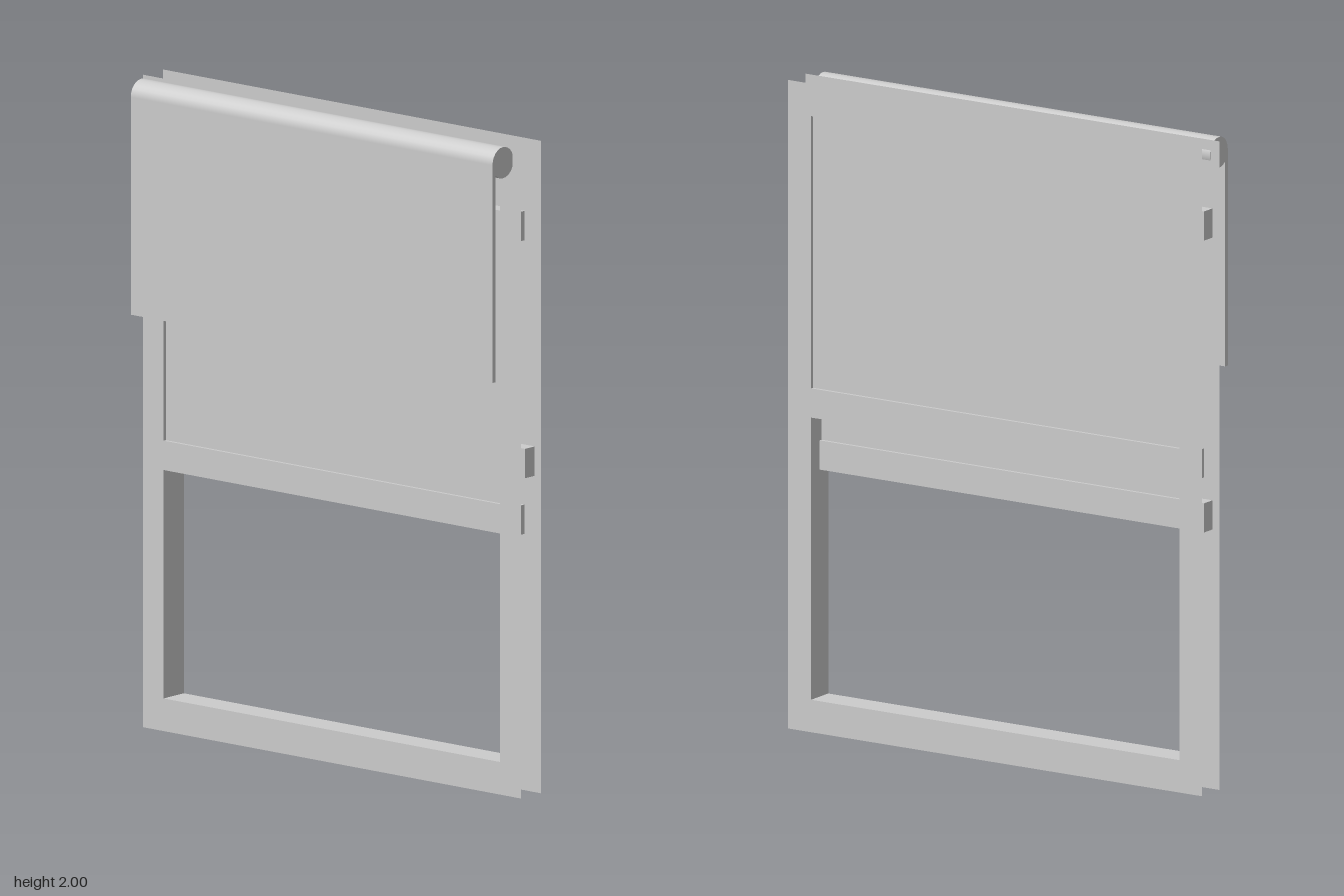
import * as THREE from 'three';

const W = 0.745, HOLE = 0.663, DEPTH = 0.093;
const grey = new THREE.MeshStandardMaterial({ color: 0xcccccc, side: THREE.DoubleSide });

function add(parent, name, geometry) {
  const mesh = new THREE.Mesh(geometry, grey);
  mesh.name = name;
  parent.add(mesh);
  return mesh;
}

// Box given by its limits on each axis
function box(parent, name, x0, x1, y0, y1, z0, z1) {
  const mesh = add(parent, name, new THREE.BoxGeometry(x1 - x0, y1 - y0, z1 - z0));
  mesh.position.set((x0 + x1) / 2, (y0 + y1) / 2, (z0 + z1) / 2);
}

// Flat rectangular trim with the window opening cut out
function casing() {
  const shape = new THREE.Shape();
  shape.moveTo(-W, 0).lineTo(W, 0).lineTo(W, 2).lineTo(-W, 2).closePath();
  const hole = new THREE.Path();
  hole.moveTo(-HOLE, 0.1).lineTo(-HOLE, 1.9).lineTo(HOLE, 1.9).lineTo(HOLE, 0.1).closePath();
  shape.holes.push(hole);
  return new THREE.ShapeGeometry(shape);
}

// One sash: glass between rails whose ends run into the jamb channels
function sash(name, y0, y1, zBack, zFront, topRail) {
  const group = new THREE.Group();
  group.name = name;
  const rail = 0.09, end = 0.72;
  box(group, 'bottomRail', -end, end, y0, y0 + rail, zBack, zFront);
  if (topRail) box(group, 'topRail', -end, end, y1 - rail, y1, zBack, zFront);
  box(group, 'glass', -HOLE, HOLE, y0 + rail, topRail ? y1 - rail : y1, zBack + 0.01, zFront - 0.01);
  return group;
}

export function createModel() {
  const model = new THREE.Group();
  model.name = 'sashWindow';

  // Window frame: two thin casings joined by the lining of the opening
  const frame = new THREE.Group();
  frame.name = 'frame';
  model.add(frame);
  add(frame, 'frontCasing', casing());
  const back = add(frame, 'backCasing', casing());
  back.rotation.y = Math.PI;
  back.position.z = -DEPTH;
  for (const side of [-1, 1]) {
    const jamb = add(frame, side > 0 ? 'leftJamb' : 'rightJamb', new THREE.PlaneGeometry(DEPTH, 1.8));
    jamb.rotation.y = -side * Math.PI / 2;
    jamb.position.set(side * HOLE, 1, -DEPTH / 2);
  }
  for (const [name, y, turn] of [['sill', 0.1, -1], ['head', 1.9, 1]]) {
    const lining = add(frame, name, new THREE.PlaneGeometry(HOLE * 2, DEPTH));
    lining.rotation.x = turn * Math.PI / 2;
    lining.position.set(0, y, -DEPTH / 2);
  }

  // Sliding sashes, the front one raised
  model.add(sash('frontSash', 0.8, 1.79, -0.046, -0.0005, true));
  model.add(sash('backSash', 0.97, 1.9, -0.092, -0.047, false));

  // Roller blind with a hanging sheet
  const blind = new THREE.Group();
  blind.name = 'rollerBlind';
  model.add(blind);
  const roller = add(blind, 'roller', new THREE.CylinderGeometry(0.048, 0.048, 1.425, 24));
  roller.rotation.z = Math.PI / 2;
  roller.position.set(0, 1.952, 0.045);
  box(blind, 'sheet', -0.7125, 0.7125, 1.285, 1.952, 0.079, 0.093);

  return model;
}
